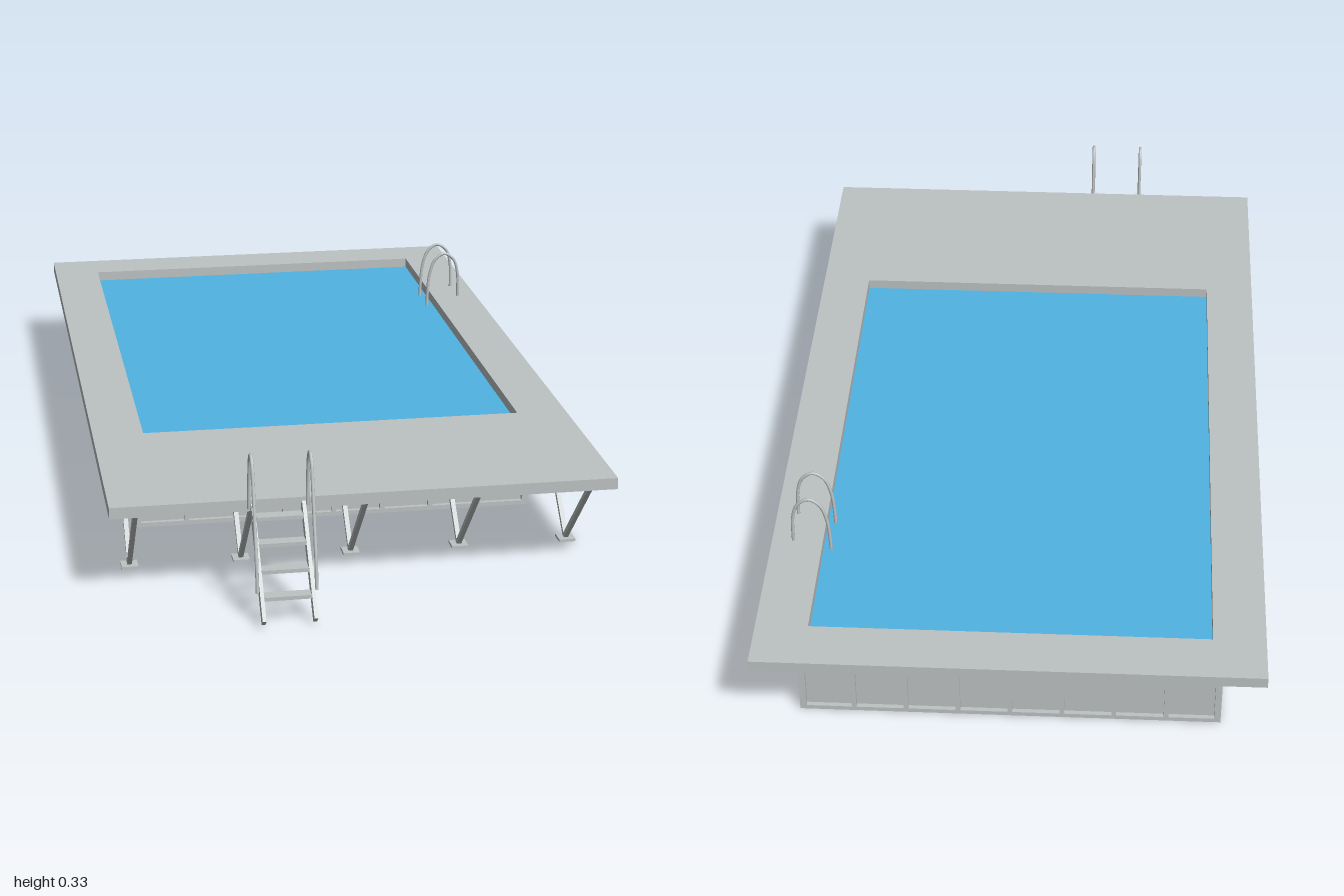
import * as THREE from 'three';

export function createModel() {
  const model = new THREE.Group();
  model.name = 'raisedPool';
  const material = (name, color) => {
    const m = new THREE.MeshStandardMaterial({ color });
    m.name = name;
    return m;
  };
  const grey = material('deck grey', 0xbdc2c3);
  const blue = material('water blue', 0x50b4e2);
  const deepBlue = material('floor blue', 0x2f78be);

  const group = (name) => {
    const g = new THREE.Group();
    g.name = name;
    model.add(g);
    return g;
  };
  const add = (parent, name, geometry, mat = grey) => {
    const m = new THREE.Mesh(geometry, mat);
    m.name = name;
    parent.add(m);
    return m;
  };
  // Box given by its lower and upper limits on each axis
  const box = (parent, name, x0, x1, y0, y1, z0, z1, mat) => {
    const m = add(parent, name, new THREE.BoxGeometry(x1 - x0, y1 - y0, z1 - z0), mat);
    m.position.set((x0 + x1) / 2, (y0 + y1) / 2, (z0 + z1) / 2);
    return m;
  };
  // Rectangular bar running from a to b
  const bar = (parent, name, a, b, w, h) => {
    const p = new THREE.Vector3(...a), q = new THREE.Vector3(...b);
    const m = add(parent, name, new THREE.BoxGeometry(w, h, p.distanceTo(q)));
    m.position.copy(p).add(q).multiplyScalar(0.5);
    m.lookAt(q);
    return m;
  };
  const tube = (parent, name, points, r) => {
    const curve = new THREE.CatmullRomCurve3(points.map((p) => new THREE.Vector3(...p)));
    return add(parent, name, new THREE.TubeGeometry(curve, 40, r, 10, false));
  };

  const W = 0.45, BACK = -0.914, FRONT = 0.415, TOP = 0.19;
  const DECK = 0.537, DECK_FRONT = 0.824;
  const OPENING = [0.425, -0.887, 0.392];

  // Flat frame with a rectangular opening, laid horizontally
  const frame = (parent, name, outer, inner, y, height) => {
    const corners = ([x, z0, z1]) => [[-x, -z1], [x, -z1], [x, -z0], [-x, -z0]].map((p) => new THREE.Vector2(...p));
    const shape = new THREE.Shape(corners(outer));
    shape.holes.push(new THREE.Path(corners(inner).reverse()));
    const geo = new THREE.ExtrudeGeometry(shape, { depth: height, bevelEnabled: false });
    geo.rotateX(-Math.PI / 2);
    add(parent, name, geo).position.y = y;
  };

  // Deck with opening, edge skirt and joists
  const deck = group('deck');
  frame(deck, 'deckTop', [DECK, -1, DECK_FRONT], OPENING, 0.205, 0.01);
  frame(deck, 'deckSkirt', [DECK, -1, DECK_FRONT], [DECK - 0.01, -0.99, DECK_FRONT - 0.01], TOP, 0.015);
  for (let i = 0; i < 5; i++) {
    const z = 0.455 + i * 0.08;
    box(deck, 'joist', -DECK + 0.01, DECK - 0.01, TOP + 0.001, 0.205, z - 0.015, z + 0.015);
  }

  // Pool body: recessed panels, rails and ribs
  const walls = group('poolWalls');
  frame(walls, 'wallPanels', [W - 0.007, BACK + 0.01, FRONT - 0.01], OPENING, 0.001, 0.204);
  frame(walls, 'bottomRail', [W, BACK, FRONT], [W - 0.014, BACK + 0.014, FRONT - 0.014], 0, 0.01);
  frame(walls, 'topRail', [W, BACK, FRONT], [W - 0.014, BACK + 0.014, FRONT - 0.014], TOP - 0.008, 0.023);
  const rib = 0.005;
  for (let i = 0; i <= 8; i++) {
    const x = -W + rib + (i / 8) * 2 * (W - rib);
    box(walls, 'frontRib', x - rib, x + rib, 0, 0.2, FRONT - 0.014, FRONT);
    box(walls, 'backRib', x - rib, x + rib, 0, 0.2, BACK, BACK + 0.014);
  }
  for (let i = 0; i <= 12; i++) {
    const z = BACK + rib + (i / 12) * (FRONT - BACK - 2 * rib);
    box(walls, 'leftRib', W - 0.014, W, 0, 0.2, z - rib, z + rib);
    box(walls, 'rightRib', -W, -W + 0.014, 0, 0.2, z - rib, z + rib);
  }

  // Water body standing on a darker floor plate
  box(model, 'water', -0.427, 0.427, 0.008, 0.192, -0.889, 0.394, blue);
  box(model, 'poolFloor', -0.435, 0.435, 0, 0.008, -0.899, 0.4, deepBlue);

  // Brackets under the overhanging deck
  const brackets = group('deckBrackets');
  for (let i = 0; i < 7; i++) {
    const z = 0.385 - i * 0.2108;
    for (const s of [-1, 1]) {
      bar(brackets, 'sideBracket', [s * (W - 0.003), 0.165, z], [s * 0.505, 0.205, z], 0.006, 0.006);
    }
  }
  for (let i = -2; i <= 2; i++) {
    bar(brackets, 'backBracket', [i * 0.21, 0.165, BACK + 0.003], [i * 0.21, 0.205, -0.97], 0.006, 0.006);
  }

  // V-shaped deck supports on foot plates
  const supports = group('deckSupports');
  for (let i = -2; i <= 2; i++) {
    const x = i * 0.241;
    box(supports, 'footPlate', x - 0.018, x + 0.018, 0, 0.006, 0.61, 0.646);
    bar(supports, 'frontStrut', [x, 0.008, 0.628], [x, 0.197, 0.812], 0.01, 0.01);
    bar(supports, 'rearStrut', [x, 0.008, 0.628], [x, 0.197, 0.436], 0.01, 0.01);
  }

  // Entry ladder with treads and curved handrails
  const ladder = group('entryLadder');
  for (const s of [-1, 1]) {
    const x = -0.189 + s * 0.053;
    bar(ladder, 'stringer', [x, 0.205, 0.83], [x, 0.012, 0.991], 0.008, 0.022);
    const rx = -0.189 + s * 0.061;
    tube(ladder, 'handrail', [
      [rx, 0.062, 0.953], [rx, 0.12, 0.946], [rx, 0.2, 0.922], [rx, 0.27, 0.902], [rx, 0.318, 0.885],
      [rx, 0.331, 0.866], [rx, 0.315, 0.85], [rx, 0.27, 0.84], [rx, 0.2, 0.835],
    ], 0.0037);
  }
  for (let i = 0; i < 4; i++) {
    const y = 0.054 + i * 0.0435;
    const z = 0.955 - i * 0.0365;
    box(ladder, 'tread', -0.239, -0.139, y - 0.004, y + 0.004, z - 0.014, z + 0.014);
  }

  // Arched grab rails at the pool edge
  const grabRails = group('poolGrabRails');
  for (const z of [-0.612, -0.522]) {
    tube(grabRails, 'grabRail', [
      [0.408, 0.17, z], [0.409, 0.22, z], [0.414, 0.275, z], [0.428, 0.315, z], [0.452, 0.331, z],
      [0.477, 0.315, z], [0.488, 0.28, z], [0.49, 0.24, z], [0.49, 0.205, z],
    ], 0.0037);
  }

  return model;
}
